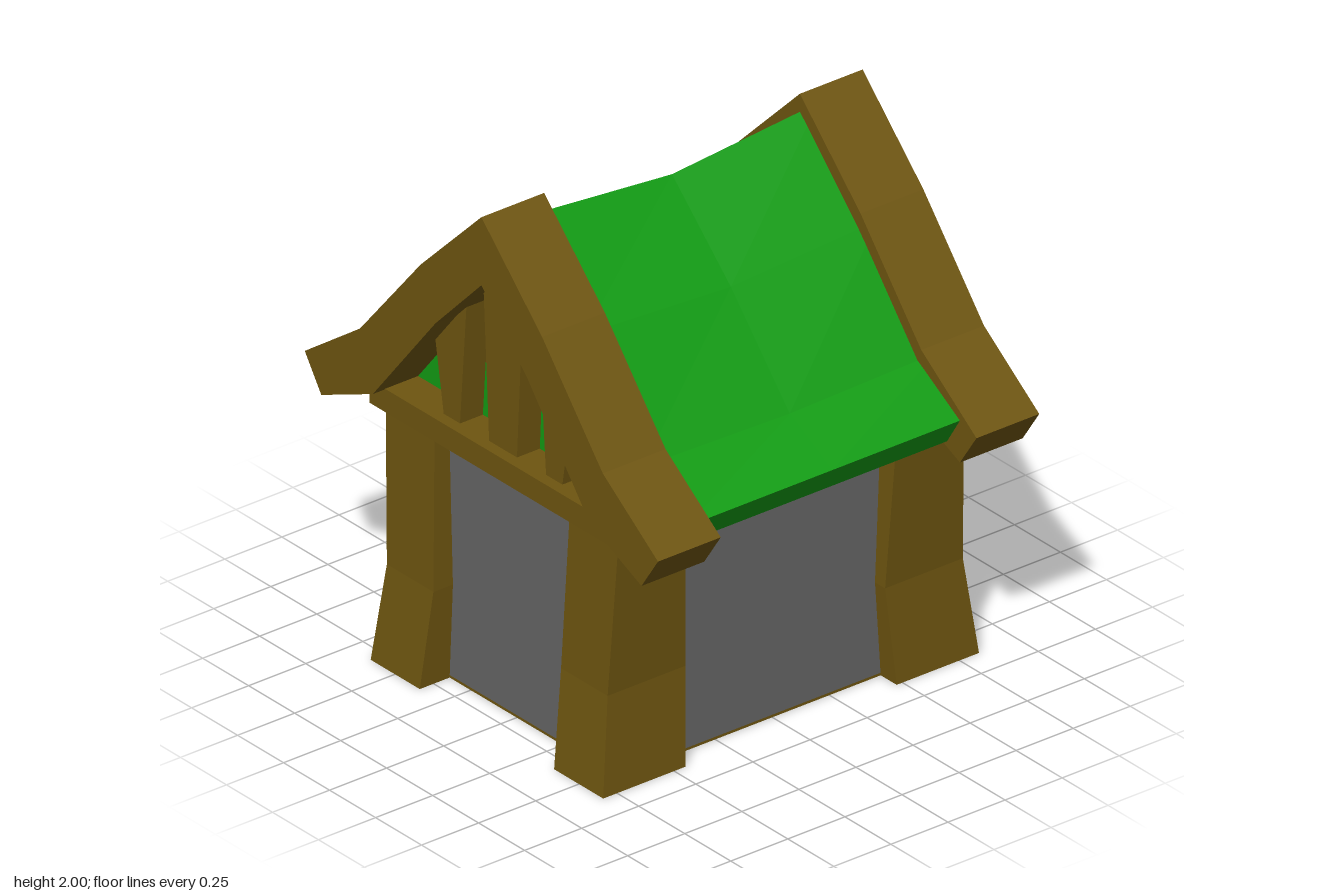
import * as THREE from 'three';

const paint = (color) => new THREE.MeshStandardMaterial({ color, flatShading: true });

// Shape from [x, y] pairs
const shapeOf = (pts) => new THREE.Shape(pts.map(([x, y]) => new THREE.Vector2(x, y)));

// Extrude an outline from z0 to z1
function slab(pts, z0, z1, steps = 1) {
  const g = new THREE.ExtrudeGeometry(shapeOf(pts), { depth: z1 - z0, steps, bevelEnabled: false });
  return g.translate(0, 0, z0);
}

// Box given by its limits
function block(x0, x1, y0, y1, z0, z1) {
  return new THREE.BoxGeometry(x1 - x0, y1 - y0, z1 - z0)
    .translate((x0 + x1) / 2, (y0 + y1) / 2, (z0 + z1) / 2);
}

// Mirror a right half outline (top to bottom) into a full one
const mirrored = (half) => [...half, ...half.filter(([x]) => x > 0).reverse().map(([x, y]) => [-x, y])];

export function createModel() {
  const model = new THREE.Group();
  const wood = paint(0x6e5510);
  const green = paint(0x129c14);
  const stone = paint(0x666666);
  const black = paint(0x0b0b0b);
  const add = (name, geometry, material) => {
    const mesh = new THREE.Mesh(geometry, material);
    mesh.name = name;
    model.add(mesh);
    return mesh;
  };

  const wallX = 0.545, wallFront = 0.68, wallBack = -0.7, recess = -0.57, wallTop = 0.965;

  // Corner posts, pinched below the middle
  const levels = [
    { y: 0, xo: 0.632, xi: 0.365, zo: 0.823, zi: 0.4625 },
    { y: 0.37, xo: 0.6, xi: 0.347, zo: 0.778, zi: 0.4375 },
    { y: wallTop, xo: 0.632, xi: 0.367, zo: 0.757, zi: 0.4625 },
  ];
  for (const sx of [-1, 1]) {
    for (const sz of [-1, 1]) {
      const g = new THREE.BoxGeometry(1, 1, 1, 1, 2, 1);
      const p = g.attributes.position;
      for (let i = 0; i < p.count; i++) {
        const l = levels[Math.round(p.getY(i) * 2 + 1)];
        const x = p.getX(i) * sx > 0 ? l.xo : l.xi;
        const z = p.getZ(i) * sz > 0 ? l.zo : l.zi;
        p.setXYZ(i, x * sx, l.y, z * sz - 0.0125);
      }
      g.computeVertexNormals();
      add('cornerPost', g, wood);
    }
  }

  // Walls: solid body, and a back wall notched for the doorway
  add('walls', block(-wallX, wallX, 0.01, wallTop, recess, wallFront), stone);
  const door = [[-0.285, 0], [-0.272, 0.54], [0, 0.72], [0.272, 0.54], [0.285, 0]];
  add('doorWall', slab([
    [-wallX, 0.01], ...door, [wallX, 0.01], [wallX, wallTop], [-wallX, wallTop],
  ], wallBack, recess), stone);

  // Dark doorway: back panel and lining of the recess
  add('doorPanel', slab(door, recess - 0.004, recess + 0.002), black);
  const inner = door.map(([x, y]) => [x * 0.985, y * 0.99]).reverse();
  add('doorLining', slab([...door, ...inner], wallBack - 0.001, recess), black);

  // Floor, notched at the doorway
  const floor = slab([
    [-wallX, -wallFront], [wallX, -wallFront], [wallX, -wallBack], [0.285, -wallBack],
    [0.285, -recess], [-0.285, -recess], [-0.285, -wallBack], [-wallX, -wallBack],
  ], 0, 0.01).rotateX(-Math.PI / 2);
  add('floor', floor, wood);

  // Crooked plaque above the door
  add('plaque', slab([
    [0.13, 0.87], [0, 0.85], [-0.15, 0.86], [-0.12, 0.71], [0.02, 0.74], [0.18, 0.7],
  ], -0.755, wallBack + 0.01), wood);

  // Plate under the roof
  add('roofPlate', block(-0.67, 0.67, 0.975, 1.065, -0.785, 0.785), wood);

  // Roof: solid prism whose ridge sags towards the middle
  const roof = slab(mirrored([
    [0, 1.93], [0.32, 1.61], [0.64, 1.235], [0.87, 1.1], [0.8, 0.99],
  ]), -0.64, 0.64, 2);
  const rp = roof.attributes.position;
  for (let i = 0; i < rp.count; i++) {
    const y = rp.getY(i);
    if (y < 1.11) continue;
    const sag = 0.05 * (1 - Math.abs(rp.getX(i)) / 0.87);
    rp.setY(i, y + sag * (Math.abs(rp.getZ(i)) / 0.56 - 1));
  }
  roof.computeVertexNormals();
  add('roof', roof, green);

  // Curved gable boards and flared studs at both ends
  const outer = [[0, 2], [0.33, 1.675], [0.66, 1.285], [0.96, 1.07], [0.87, 0.937]];
  const under = [[0.59, 1.06], [0.25, 1.48], [0, 1.735]];
  const flip = (pts) => pts.map(([x, y]) => [-x, y]).reverse();
  const board = [...outer, ...under, ...flip([...outer.slice(1), ...under.slice(0, 2)])];
  const studs = [
    [[-0.075, 1.05], [0.075, 1.05], [0.107, 1.66], [0, 1.76], [-0.107, 1.66]],
    [[0.235, 1.05], [0.32, 1.05], [0.372, 1.36], [0.197, 1.56]],
  ];
  studs.push(flip(studs[1]));
  for (const s of [-1, 1]) {
    const span = (a, b) => (s > 0 ? [a, b] : [-b, -a]);
    add('gableBoard', slab(board, ...span(0.56, 0.835)), wood);
    for (const pts of studs) add('gableStud', slab(pts, ...span(0.6, 0.74)), wood);
  }

  return model;
}
